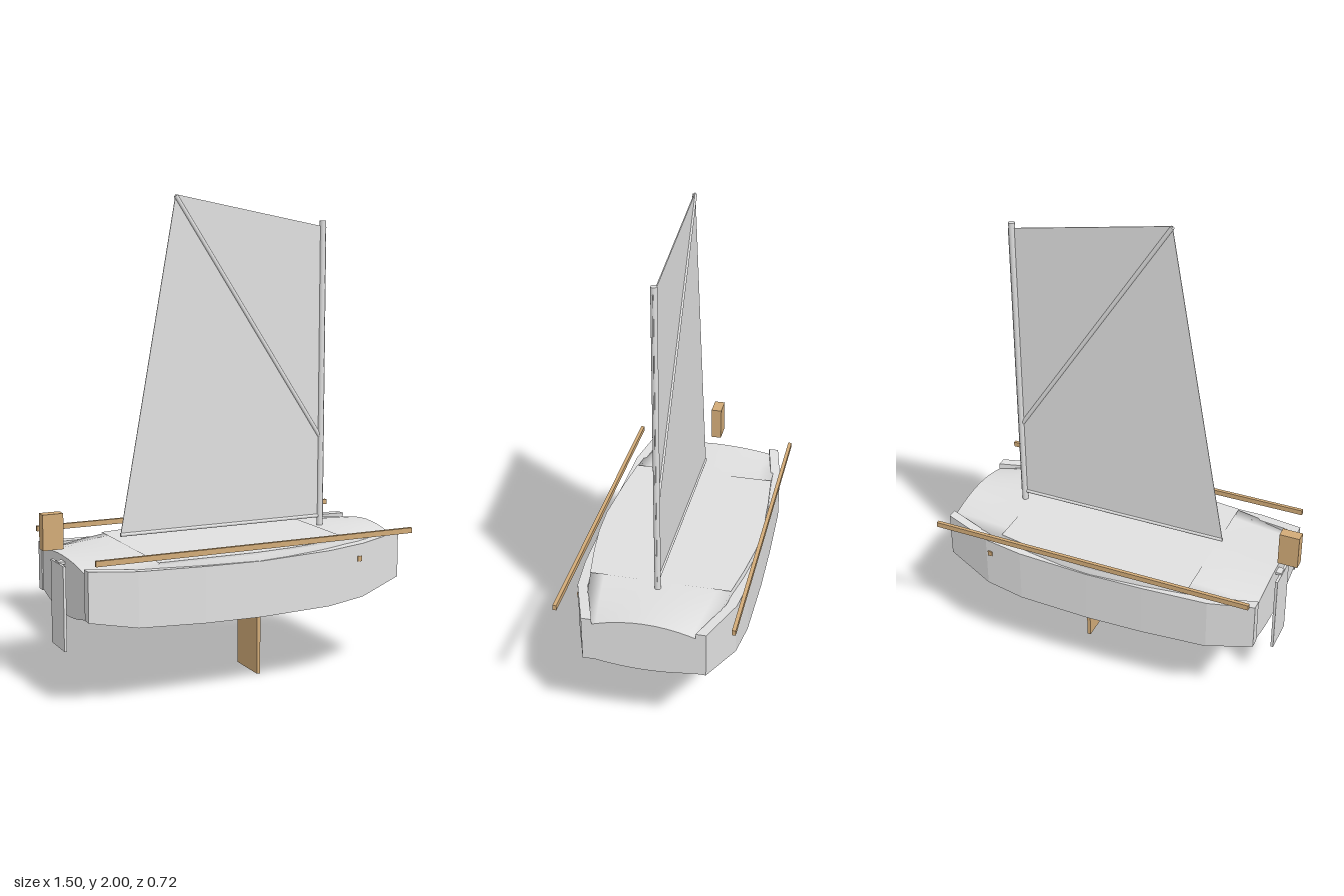
import * as THREE from 'three';

const mat = (name, color, side = THREE.FrontSide) => {
  const m = new THREE.MeshStandardMaterial({ color, side });
  m.name = name;
  return m;
};

// Closed loft along +x; each ring is a list of [z, y] running from +z over the top to -z.
function loft(xs, rings) {
  const n = rings[0].length, pos = [], idx = [];
  rings.forEach((r, i) => r.forEach(([z, y]) => pos.push(xs[i], y, z)));
  for (let i = 0; i < xs.length - 1; i++) {
    for (let j = 0; j < n; j++) {
      const k = (j + 1) % n, a = i * n + j, b = a + n, c = i * n + k, d = c + n;
      idx.push(a, b, c, b, d, c);
    }
  }
  const g = new THREE.BufferGeometry();
  g.setAttribute('position', new THREE.Float32BufferAttribute(pos, 3));
  g.setIndex(idx);
  g.computeVertexNormals();
  return g;
}

// Flat end cap for a ring, facing +x (dir 1) or -x (dir -1).
function cap(x, ring, dir) {
  const n = ring.length, pos = [];
  const cz = ring.reduce((s, p) => s + p[0], 0) / n;
  const cy = ring.reduce((s, p) => s + p[1], 0) / n;
  ring.forEach((p, j) => {
    const q = ring[(j + 1) % n];
    const [a, b] = dir > 0 ? [q, p] : [p, q];
    pos.push(x, cy, cz, x, a[1], a[0], x, b[1], b[0]);
  });
  const g = new THREE.BufferGeometry();
  g.setAttribute('position', new THREE.Float32BufferAttribute(pos, 3));
  g.computeVertexNormals();
  return g;
}

const flat = (g) => {
  const f = g.toNonIndexed();
  f.computeVertexNormals();
  return f;
};

export function createModel() {
  const root = new THREE.Group();
  root.name = 'sailingDinghy';
  const white = mat('white', 0xe0e0e0);
  const cloth = mat('sailWhite', 0xe0e0e0, THREE.DoubleSide);
  const wood = mat('wood', 0xd2ab78);

  const add = (name, geo, material, parent = root) => {
    const m = new THREE.Mesh(geo, material);
    m.name = name;
    parent.add(m);
    return m;
  };
  // Box given by its lower and upper corners
  const box = (name, lo, hi, material) => {
    const m = add(name, new THREE.BoxGeometry(...hi.map((v, i) => v - lo[i])), material);
    m.position.set(...hi.map((v, i) => (v + lo[i]) / 2));
    return m;
  };
  // Round spar between two points of the centre plane
  const spar = (name, a, b, r) => {
    const d = new THREE.Vector3(b[0] - a[0], b[1] - a[1], 0);
    const m = add(name, new THREE.CylinderGeometry(r, r, d.length(), 12), white);
    m.position.set((a[0] + b[0]) / 2, (a[1] + b[1]) / 2, 0);
    m.quaternion.setFromUnitVectors(new THREE.Vector3(0, 1, 0), d.normalize());
    return m;
  };

  // Inner hull: x, half width, deck centre y, deck crown, keel y, bottom edge y
  const stations = [
    [-0.665, 0.292, 0.576, 0.03, 0.34, 0.39],
    [-0.52, 0.302, 0.579, 0.018, 0.337, 0.375],
    [-0.385, 0.31, 0.582, 0.004, 0.335, 0.365],
    [-0.2, 0.328, 0.586, 0, 0.334, 0.36],
    [0.03, 0.342, 0.589, 0, 0.334, 0.36],
    [0.17, 0.336, 0.591, 0, 0.335, 0.36],
    [0.32, 0.316, 0.593, 0, 0.338, 0.365],
    [0.47, 0.289, 0.595, 0.004, 0.346, 0.375],
    [0.62, 0.262, 0.598, 0.022, 0.358, 0.385],
    [0.747, 0.236, 0.6, 0.045, 0.375, 0.4],
  ];
  const N = 10;
  const shellRings = stations.map(([, w, top, crown, keel, edge]) => {
    const ring = [];
    for (let j = 0; j <= N; j++) {
      const u = 1 - (2 * j) / N;
      ring.push([u * w, top - crown * u * u]);
    }
    for (let j = 0; j <= N; j++) {
      const u = -1 + (2 * j) / N;
      ring.push([u * w, keel + (edge - keel) * u * u]);
    }
    return ring;
  });
  const hull = new THREE.Group();
  hull.name = 'hull';
  root.add(hull);
  const shellX = stations.map((s) => s[0]);
  add('hullShell', loft(shellX, shellRings), white, hull);
  add('sternTransom', cap(shellX[0], shellRings[0], -1), white, hull);
  add('bowTransom', cap(shellX.at(-1), shellRings.at(-1), 1), white, hull);

  // Flat cockpit cover between the fore and aft decks
  const mid = stations.slice(2, 8);
  add('cockpitCover', flat(loft(mid.map((s) => s[0]), mid.map(([, w, top]) =>
    [[w, top + 0.003], [-w, top + 0.003], [-w, top - 0.005], [w, top - 0.005]]))), white, hull);

  // Side planks: x, outer half width, top y, bottom y
  const planks = [
    [-0.67, 0.297, 0.576, 0.376],
    [-0.48, 0.336, 0.566, 0.344],
    [-0.2, 0.344, 0.559, 0.331],
    [0.05, 0.347, 0.556, 0.327],
    [0.36, 0.343, 0.566, 0.333],
    [0.53, 0.325, 0.577, 0.35],
    [0.75, 0.247, 0.59, 0.395],
  ];
  const plankX = planks.map((p) => p[0]);
  for (const s of [1, -1]) {
    const side = s > 0 ? 'front' : 'back';
    const rings = planks.map(([, o, t, b]) => {
      const i = o - 0.042;
      return s > 0 ? [[o, t], [i, t], [i, b], [o, b]] : [[-i, t], [-o, t], [-o, b], [-i, b]];
    });
    add(side + 'SidePlank', flat(loft(plankX, rings)), white, hull);
    add(side + 'PlankStern', cap(plankX[0], rings[0], -1), white, hull);
    add(side + 'PlankBow', cap(plankX.at(-1), rings.at(-1), 1), white, hull);
    // Wooden rub rail
    const z = [s * 0.345, s * 0.36].sort((a, b) => a - b);
    box(side + 'Rail', [-0.66, 0.607, z[0]], [0.745, 0.629, z[1]], wood);
  }

  // Cross beam with ends showing through the planks
  box('crossBeam', [0.5, 0.503, -0.332], [0.52, 0.525, 0.332], wood);

  // Daggerboard, rudder and tiller block
  box('daggerboard', [0.157, 0, -0.092], [0.172, 0.345, 0.092], wood);
  box('rudder', [-0.692, 0.205, -0.075], [-0.681, 0.55, 0.075], white);
  box('rudderMount', [-0.69, 0.545, -0.02], [-0.66, 0.556, 0.02], white);
  box('tiller', [-0.755, 0.608, -0.023], [-0.67, 0.752, 0.023], wood);

  // Mast, boom and sprit
  spar('mast', [0.507, 0.59], [0.507, 1.9], 0.013);
  spar('boom', [-0.42, 0.637], [0.5, 0.637], 0.008);
  spar('sprit', [-0.17, 1.992], [0.5, 0.988], 0.009);

  // Sail
  const sail = new THREE.Shape([[-0.42, 0.635], [0.523, 0.635], [0.523, 1.873], [-0.17, 1.997]]
    .map((p) => new THREE.Vector2(...p)));
  add('sail', new THREE.ExtrudeGeometry(sail, { depth: 0.004, bevelEnabled: false }), cloth).position.z = -0.002;

  return root;
}
